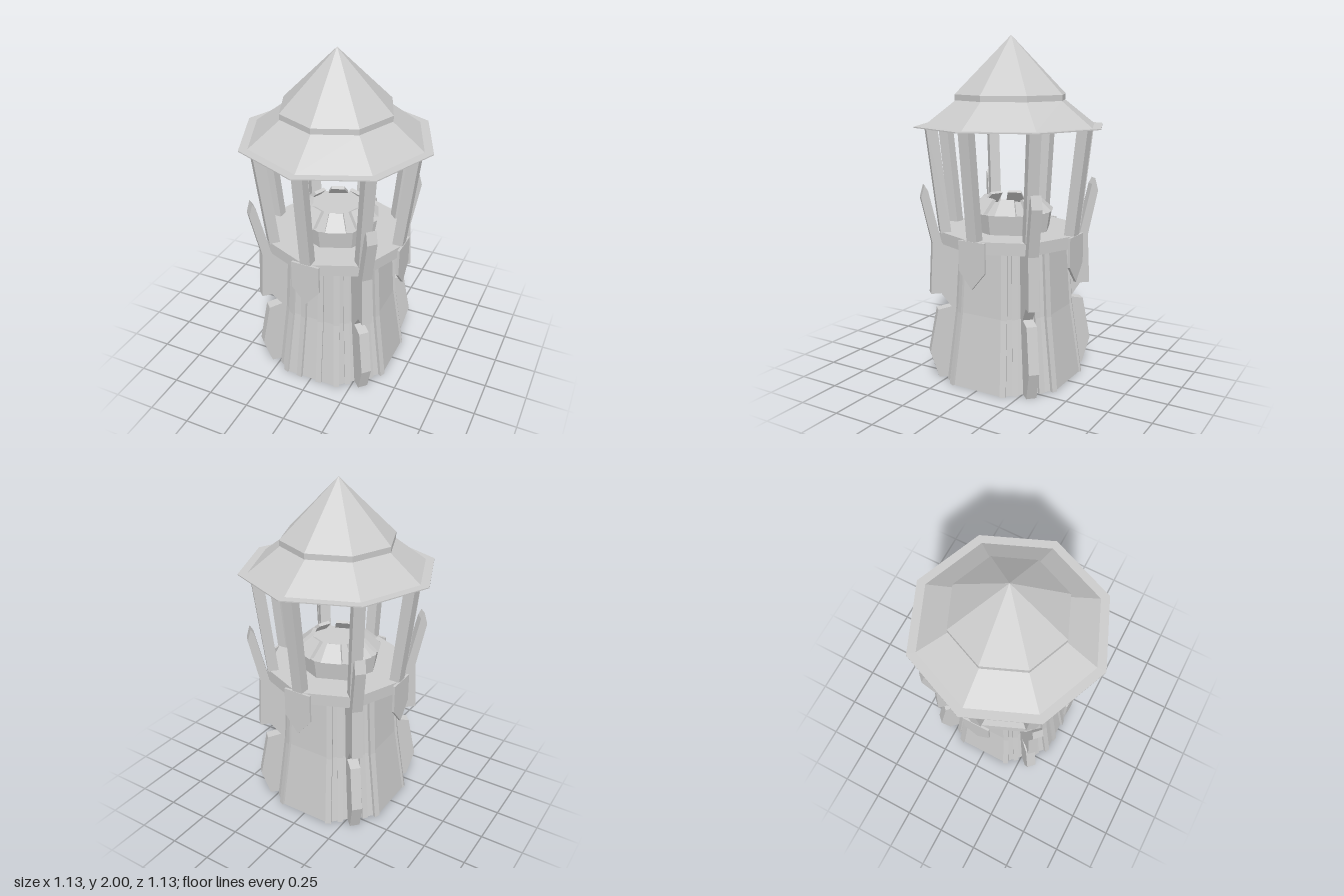
import * as THREE from 'three';

const EIGHTH = Math.PI / 4;
const DEG = Math.PI / 180;

export function createModel() {
  const model = new THREE.Group();
  const material = new THREE.MeshStandardMaterial({ color: 0xcccccc, flatShading: true });

  const add = (name, geometry, angle = 0) => {
    const mesh = new THREE.Mesh(geometry, material);
    mesh.name = name;
    mesh.rotation.y = angle;
    model.add(mesh);
    return mesh;
  };

  // Eight-sided section between two heights
  const octagon = (name, rBottom, rTop, y0, y1, angle = 0) => {
    const geometry = new THREE.CylinderGeometry(rTop, rBottom, y1 - y0, 8);
    geometry.translate(0, (y0 + y1) / 2, 0);
    return add(name, geometry, angle);
  };

  const extrude = (points, depth) => {
    const shape = new THREE.Shape(points.map(([x, y]) => new THREE.Vector2(x, y)));
    const geometry = new THREE.ExtrudeGeometry(shape, { depth, bevelEnabled: false });
    return geometry.translate(0, 0, -depth / 2);
  };

  // Upright slab from a (radius, height) outline, pointing out towards +z
  const slab = (points, width) => extrude(points, width).rotateY(-Math.PI / 2);

  // Flared tower wall with its flats on the axes: [apothem, height]
  const wall = [[0.388, 0], [0.33, 0.43], [0.305, 0.83]];
  const toCorner = 1 / Math.cos(EIGHTH / 2);
  for (let i = 0; i < 2; i++) {
    const [a, b] = [wall[i], wall[i + 1]];
    octagon('towerWall', a[0] * toCorner, b[0] * toCorner, a[1], b[1], EIGHTH / 2);
  }

  // Thin ribs following the wall
  const rib = (degrees) => {
    const angle = degrees * DEG;
    const offset = angle - Math.round(angle / EIGHTH) * EIGHTH;
    const outer = wall.map(([r, y]) => [r / Math.cos(offset) + 0.014, y]);
    const inner = wall.map(([r, y]) => [r - 0.04, y]).reverse();
    add('wallRib', slab([...outer, ...inner], 0.034), angle);
  };
  for (let side = 0; side < 4; side++) {
    for (const d of [-34, -24, 24, 34]) rib(side * 90 + d);
  }
  rib(-11);
  rib(8);

  // Notched buttresses on the diagonals
  const buttress = slab([
    [0.3, 0], [0.45, 0], [0.5, 0.16], [0.45, 0.42], [0.37, 0.435],
    [0.43, 0.52], [0.49, 0.52], [0.475, 0.82], [0.535, 1.09], [0.515, 1.165],
    [0.495, 1.13], [0.435, 0.88], [0.42, 0.82], [0.28, 0.82],
  ], 0.06);
  for (let i = 0; i < 4; i++) add('buttress', buttress, EIGHTH + i * 2 * EIGHTH);

  // Gallery floor
  octagon('platform', 0.43, 0.43, 0.815, 0.885);

  // Pointed shields on the four sides
  const shield = extrude([
    [-0.085, 0.885], [-0.085, 0.715], [0, 0.613], [0.085, 0.715], [0.085, 0.885],
  ], 0.014).translate(0, 0, 0.424);
  for (let i = 0; i < 4; i++) add('shield', shield, i * 2 * EIGHTH);

  // Tub in the middle, with leaning slats round its rim
  octagon('tub', 0.237, 0.255, 0.885, 1.0);
  const slat = slab([[0.215, 1.0], [0.245, 1.0], [0.158, 1.08], [0.138, 1.07]], 0.12);
  const p = slat.attributes.position;
  for (let i = 0; i < p.count; i++) {
    // Narrow each slat towards the top
    p.setX(i, p.getX(i) * (1 - (p.getY(i) - 1) * 4.6));
  }
  slat.computeVertexNormals();
  for (let i = 0; i < 8; i++) add('tubSlat', slat, (i + 0.5) * EIGHTH);

  // Outward leaning posts under the roof corners
  const post = slab([[0.365, 0.88], [0.427, 0.88], [0.5, 1.49], [0.435, 1.49]], 0.064);
  for (let i = 0; i < 8; i++) add('roofPost', post, i * EIGHTH);

  // Roof in tiers
  octagon('eavesPlate', 0.565, 0.565, 1.487, 1.493);
  octagon('roofSkirt', 0.513, 0.325, 1.493, 1.637);
  octagon('roofBand', 0.33, 0.33, 1.637, 1.67);
  octagon('roofPeak', 0.33, 0, 1.67, 2.0);

  return model;
}
